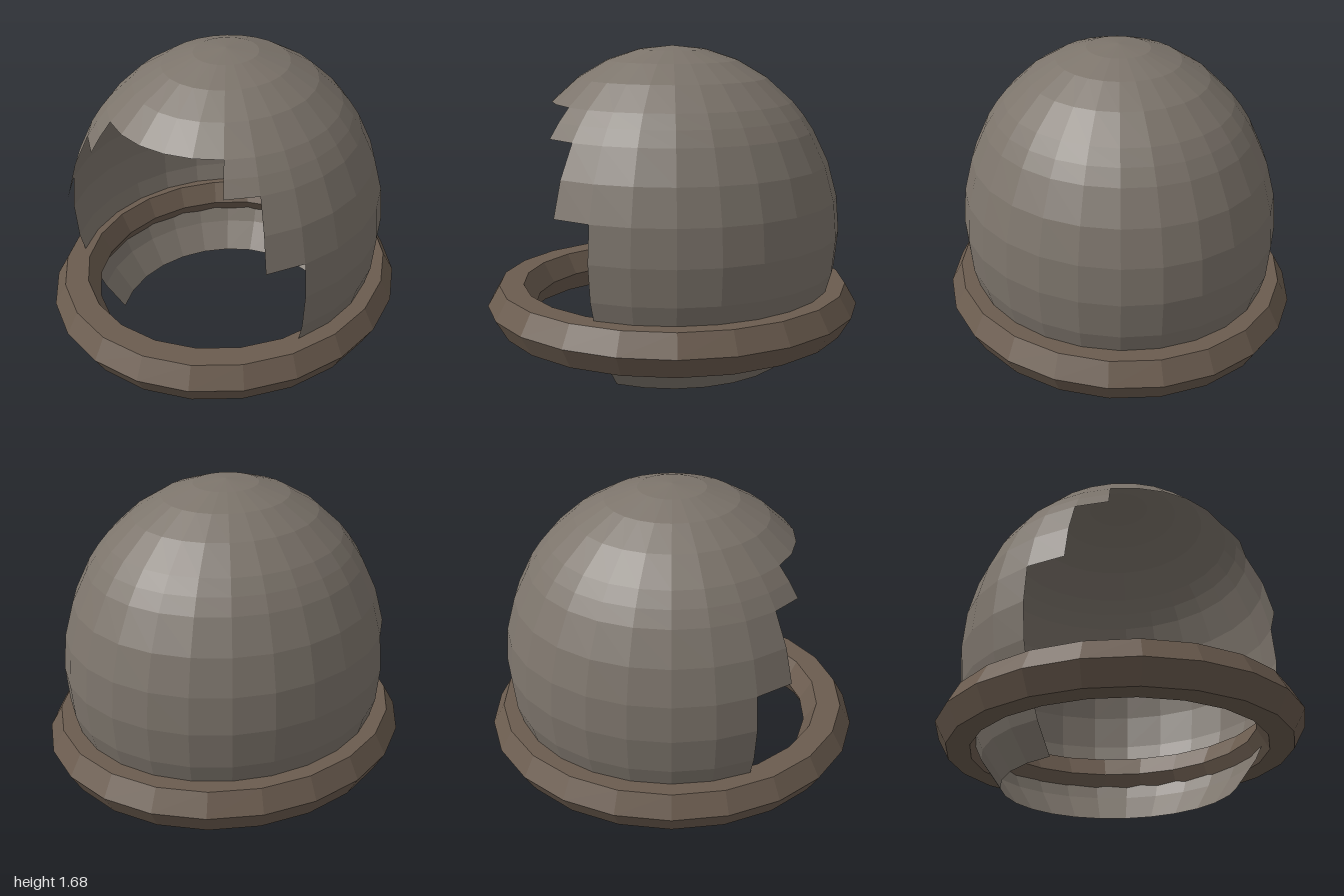
import * as THREE from 'three';

const COLS = 26, ROWS = 16;
const D_PHI = (Math.PI * 2) / COLS, D_THETA = Math.PI / ROWS;

export function createModel() {
  const model = new THREE.Group();
  model.name = 'openFacedHelmet';

  // Thin faceted shell: bands of rows, each with a number of columns left open at the front
  const shellMaterial = new THREE.MeshStandardMaterial({ color: 0x7c746b, flatShading: true, side: THREE.DoubleSide });
  const shell = new THREE.Group();
  shell.name = 'domeShell';
  const bands = [
    { name: 'crown', from: 0, to: 4, open: 0 },
    { name: 'browBand', from: 4, to: 5, open: 5 },
    { name: 'templeBand', from: 5, to: 7, open: 7 },
    { name: 'cheekBand', from: 7, to: 12, open: 9 },
  ];
  for (const { name, from, to, open } of bands) {
    const cols = COLS - open;
    // Odd offsets keep a column centred on the front
    const start = Math.PI / 2 + (open || 1) * D_PHI / 2;
    const geometry = new THREE.SphereGeometry(1, cols, to - from, start, cols * D_PHI, from * D_THETA, (to - from) * D_THETA);
    const mesh = new THREE.Mesh(geometry, shellMaterial);
    mesh.name = name;
    shell.add(mesh);
  }
  shell.scale.set(0.835, 0.982, 0.9);
  shell.position.y = 0.695;
  model.add(shell);

  // Six-sided collar ring around the neck
  const ringGeometry = new THREE.TorusGeometry(0.88, 0.13, 6, 22).rotateX(Math.PI / 2).scale(0.926, 1, 1);
  const ring = new THREE.Mesh(ringGeometry, new THREE.MeshStandardMaterial({ color: 0x6b5c4f, flatShading: true }));
  ring.name = 'collarRing';
  ring.position.y = 0.292;
  model.add(ring);

  return model;
}
